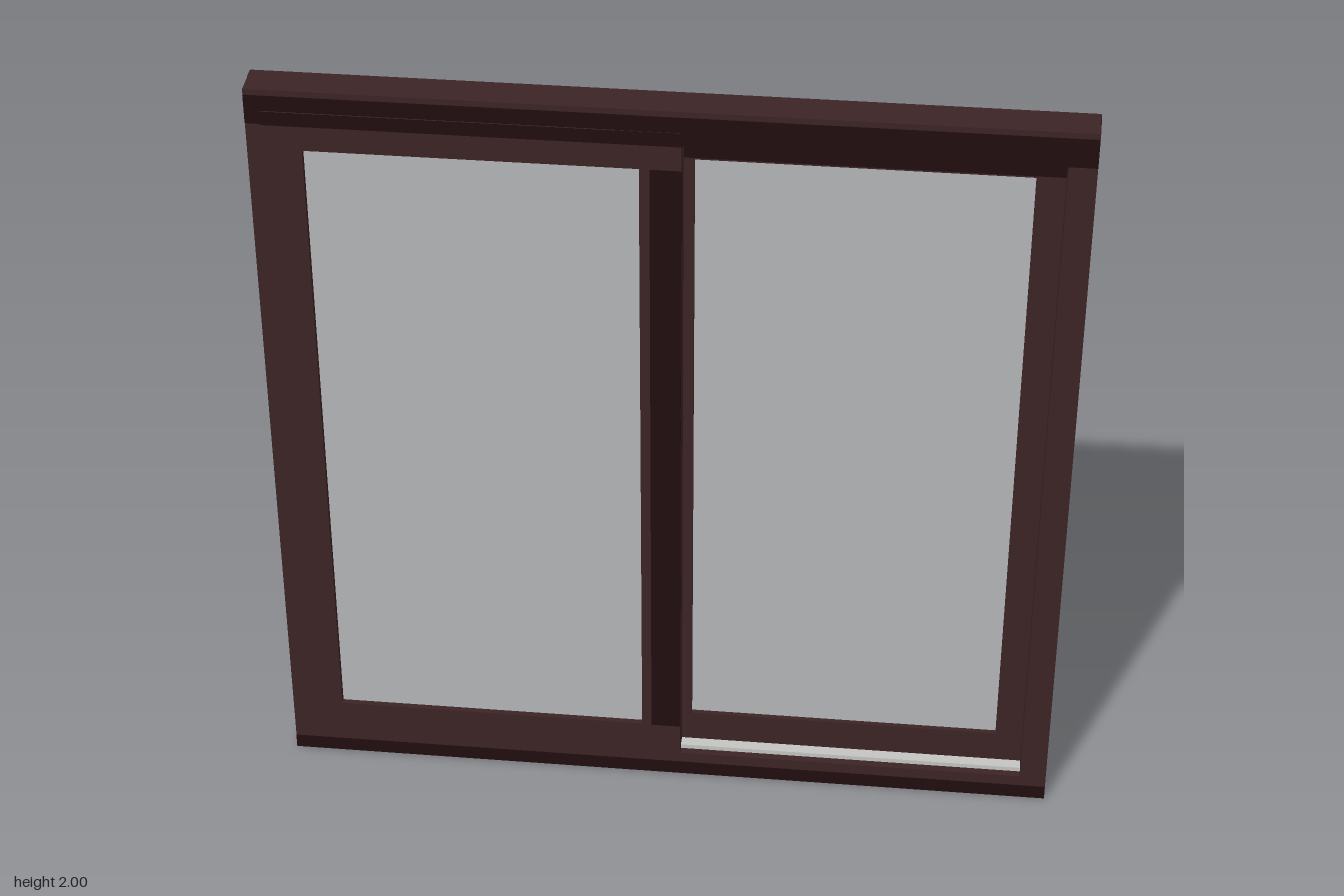
import * as THREE from 'three';

export function createModel() {
  const group = new THREE.Group();
  const mat = (name, color) => {
    const m = new THREE.MeshStandardMaterial({ color });
    m.name = name;
    return m;
  };
  const brown = mat('brown frame', 0x3c2425);
  const dark = mat('dark brown trim', 0x200d0e);
  const glass = mat('grey glass', 0xb4b6b7);
  const silver = mat('silver metal', 0xc4c5c2);
  const black = mat('black keyhole', 0x141414);

  // box given by its minimum and maximum corners
  function box(name, material, x0, x1, y0, y1, z0, z1, parent = group) {
    const mesh = new THREE.Mesh(new THREE.BoxGeometry(x1 - x0, y1 - y0, z1 - z0), material);
    mesh.position.set((x0 + x1) / 2, (y0 + y1) / 2, (z0 + z1) / 2);
    mesh.name = name;
    parent.add(mesh);
    return mesh;
  }

  function rectPath(path, [x0, x1, y0, y1]) {
    path.moveTo(x0, y0);
    path.lineTo(x1, y0);
    path.lineTo(x1, y1);
    path.lineTo(x0, y1);
    path.closePath();
    return path;
  }

  // rectangular ring extruded from z0 to z1
  function ring(name, material, outer, inner, z0, z1, parent = group) {
    const shape = rectPath(new THREE.Shape(), outer);
    shape.holes.push(rectPath(new THREE.Path(), inner));
    const geo = new THREE.ExtrudeGeometry(shape, { depth: z1 - z0, bevelEnabled: false });
    geo.translate(0, 0, z0);
    const mesh = new THREE.Mesh(geo, material);
    mesh.name = name;
    parent.add(mesh);
  }

  // outer frame with dark head, sill and side strips
  ring('outerFrame', brown, [-0.998, 0.998, 0, 2], [-0.93, 0.93, 0.07, 1.91], -0.045, 0.05);
  box('headTrim', dark, -0.998, 0.998, 1.91, 1.985, 0.048, 0.052);
  box('sillTrim', dark, -0.998, 0.998, 0.002, 0.04, 0.048, 0.052);
  for (const s of [-1, 1]) {
    const strip = box('sideTrim', dark, -0.002, 0.002, 0.002, 1.998, -0.045, -0.015);
    strip.position.x = s * 0.998;
  }

  // two sliding sashes, one on each side of the frame depth
  function sash(name, side) {
    const g = new THREE.Group();
    g.name = name;
    group.add(g);
    const front = side > 0;
    const outer = front ? [-0.96, 0.035, 0.05, 1.945] : [-0.035, 0.96, 0.05, 1.945];
    const inner = front ? [-0.865, -0.065, 0.165, 1.845] : [0.06, 0.86, 0.165, 1.845];
    const [z0, z1] = front ? [0.004, 0.055] : [-0.05, -0.004];
    ring('sashFrame', brown, outer, inner, z0, z1, g);
    const zm = (z0 + z1) / 2;
    box('glassPane', glass, inner[0], inner[1], inner[2], inner[3], zm - 0.01, zm + 0.01, g);
    return g;
  }
  const frontSash = sash('frontSash', 1);
  const backSash = sash('backSash', -1);
  box('meetingStrip', dark, -0.04, 0.035, 0.165, 1.845, 0.053, 0.057, frontSash);
  box('topStrip', dark, -0.96, 0.035, 1.91, 1.945, 0.053, 0.057, frontSash);
  box('topStrip', dark, 0.035, 0.93, 1.85, 1.91, -0.006, -0.002, backSash);

  // metal rails in the open half of each track
  box('frontTrack', silver, 0.035, 0.93, 0.07, 0.082, 0, 0.03);
  box('backTrack', silver, -0.93, -0.035, 0.07, 0.082, -0.03, 0);

  // lock plates with rounded ends, facing the back
  function handle(name, x, z, lever) {
    const g = new THREE.Group();
    g.name = name;
    g.position.set(x, 1, z);
    group.add(g);
    const r = 0.022, h = 0.135;
    const shape = new THREE.Shape();
    shape.absarc(0, h, r, 0, Math.PI, false);
    shape.absarc(0, -h, r, Math.PI, Math.PI * 2, false);
    const geo = new THREE.ExtrudeGeometry(shape, { depth: 0.006, bevelEnabled: false, curveSegments: 10 });
    geo.translate(0, 0, -0.006);
    const plate = new THREE.Mesh(geo, silver);
    plate.name = 'lockPlate';
    g.add(plate);
    box('keyhole', black, -0.006, 0.006, 0.06, 0.09, -0.008, -0.004, g);
    if (lever) {
      box('leverArm', silver, 0, 0.045, -0.01, 0.01, -0.008, -0.002, g);
      box('lever', silver, 0.038, 0.048, -0.05, 0.05, -0.009, -0.001, g);
    }
  }
  handle('backSashHandle', 0.91, -0.049, true);
  handle('frontSashHandle', -0.9, 0.005, false);

  return group;
}
